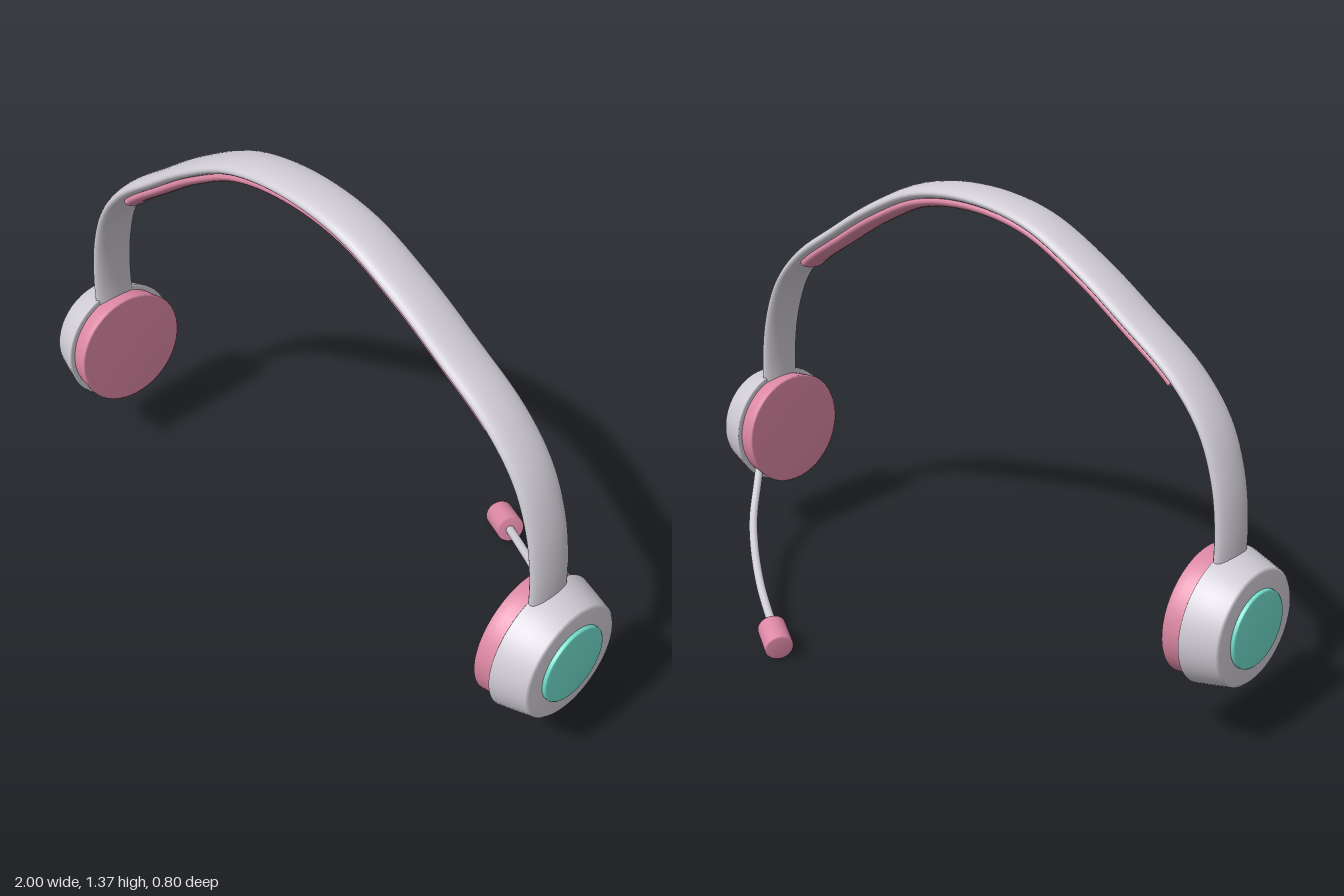
import * as THREE from 'three';

const V = (x, y, z) => new THREE.Vector3(x, y, z);

// Sweeps an ellipse along a curve lying in a plane of constant z, with sharp closed ends.
function sweepEllipse(curve, t0, t1, steps, thick, width, offset) {
  const sides = 28, pos = [], index = [];
  const rings = [[t0, 0], [t0, 1]];
  for (let i = 0; i <= steps; i++) rings.push([t0 + (t1 - t0) * i / steps, 1]);
  rings.push([t1, 1], [t1, 0]);
  rings.forEach(([t, scale], i) => {
    const p = curve.getPoint(t), d = curve.getTangent(t);
    for (let j = 0; j < sides; j++) {
      const a = j / sides * Math.PI * 2;
      const n = Math.cos(a) * thick * scale + offset;
      pos.push(p.x - d.y * n, p.y + d.x * n, p.z + Math.sin(a) * width * scale);
      if (i === rings.length - 1) continue;
      const k = (j + 1) % sides, r = i * sides, q = r + sides;
      index.push(r + j, r + k, q + j, r + k, q + k, q + j);
    }
  });
  const g = new THREE.BufferGeometry();
  g.setAttribute('position', new THREE.Float32BufferAttribute(pos, 3));
  g.setIndex(index);
  g.computeVertexNormals();
  return g;
}

// Lathe turned so that its axis runs along +x; profile holds [radius, x] pairs.
function latheX(profile) {
  const g = new THREE.LatheGeometry(profile.map(([r, x]) => new THREE.Vector2(r, x)), 48);
  return g.rotateZ(-Math.PI / 2);
}

export function createModel() {
  const model = new THREE.Group();
  model.name = 'headset';
  const shell = new THREE.MeshStandardMaterial({ color: 0xcfcbd4 });
  const cushion = new THREE.MeshStandardMaterial({ color: 0xdb87a3 });
  const accent = new THREE.MeshStandardMaterial({ color: 0x70dccb });
  shell.name = 'pale grey shell';
  cushion.name = 'pink cushion';
  accent.name = 'mint accent';

  const add = (parent, name, geometry, material) => {
    const mesh = new THREE.Mesh(geometry, material);
    mesh.name = name;
    parent.add(mesh);
    return mesh;
  };

  // Headband arch, mirrored from one half
  const half = [[0.893, 0.5], [0.891, 0.64], [0.868, 0.78], [0.815, 0.91], [0.72, 1.02],
    [0.56, 1.13], [0.4, 1.23], [0.21, 1.318]];
  const arch = new THREE.CatmullRomCurve3([
    ...half.map(([x, y]) => V(-x, y, 0.203)),
    V(0, 1.346, 0.203),
    ...half.slice().reverse().map(([x, y]) => V(x, y, 0.203)),
  ]);
  add(model, 'headband', sweepEllipse(arch, 0, 1, 96, 0.023, 0.067, 0), shell);
  // Padding under the crown, between the two shoulder points of the arch
  add(model, 'headbandPad', sweepEllipse(arch, 4 / 16, 12 / 16, 64, 0.021, 0.052, -0.025), cushion);

  // Ear cups
  for (const side of [1, -1]) {
    const cup = new THREE.Group();
    cup.name = side > 0 ? 'leftEarCup' : 'rightEarCup';
    cup.position.set(0, 0.393, 0.203);
    if (side < 0) cup.rotation.y = Math.PI;
    add(cup, 'cupShell', latheX([[0, 0.884], [0.188, 0.884], [0.193, 0.887], [0.18, 0.935],
      [0.166, 0.983], [0.158, 0.989], [0, 0.989]]), shell);
    add(cup, 'earCushion', latheX([[0, 0.826], [0.178, 0.826], [0.184, 0.829],
      [0.181, 0.855], [0.176, 0.888]]), cushion);
    add(cup, 'cupDisc', latheX([[0.111, 0.985], [0.11, 0.997], [0.106, 1], [0, 1]]), accent);
    model.add(cup);
  }

  // Microphone boom
  const boom = new THREE.CatmullRomCurve3([
    V(0.885, 0.3, 0.1), V(0.825, 0.25, 0.035), V(0.74, 0.187, -0.055),
    V(0.64, 0.145, -0.135), V(0.5, 0.1, -0.228), V(0.32, 0.06, -0.328),
  ]);
  add(model, 'microphoneBoom', new THREE.TubeGeometry(boom, 48, 0.0135, 16), shell);

  // Microphone capsule with slightly eased rims
  const capsule = add(model, 'microphone', latheX([[0, -0.052], [0.039, -0.052], [0.043, -0.047],
    [0.043, 0], [0.043, 0.047], [0.039, 0.052], [0, 0.052]]), cushion);
  capsule.position.set(0.292, 0.053, -0.345);
  capsule.quaternion.setFromUnitVectors(V(1, 0, 0), V(-0.88, -0.18, -0.44).normalize());

  return model;
}
